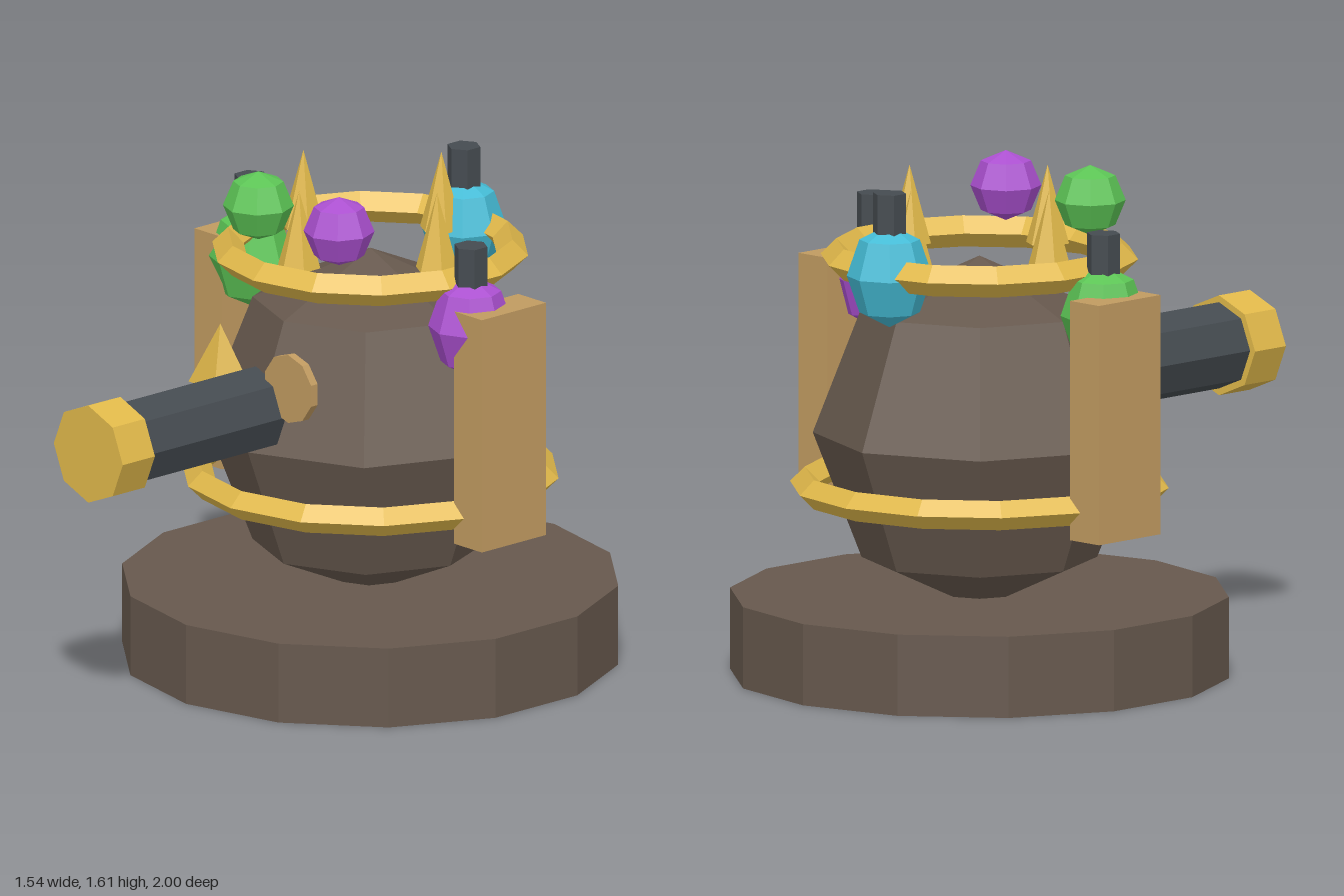
import * as THREE from 'three';

const mat = (color) => new THREE.MeshStandardMaterial({ color, flatShading: true });

export function createModel() {
  const model = new THREE.Group();
  const stone = mat(0x66584d), gold = mat(0xe0b84a), wood = mat(0xc09a60), iron = mat(0x454b50);
  const green = mat(0x5cc455), purple = mat(0xab50d0), cyan = mat(0x45bcd6);
  const CZ = -0.21; // axis of the pot and base

  const add = (name, geometry, material, x, y, z, parent = model) => {
    const mesh = new THREE.Mesh(geometry, material);
    mesh.name = name;
    mesh.position.set(x, y, z);
    parent.add(mesh);
    return mesh;
  };

  // Round plinth and faceted pot
  add('base', new THREE.CylinderGeometry(0.79, 0.79, 0.26, 14), stone, 0, 0.13, CZ);
  add('body', new THREE.SphereGeometry(0.525, 8, 4).scale(1, 1.076, 1), stone, 0, 0.773, CZ);

  // Diamond-section hoops, with a corner towards the front
  const hoop = (name, radius, tube, y) => add(name,
    new THREE.TorusGeometry(radius, tube, 4, 14).rotateX(Math.PI / 2).rotateY(Math.PI / 2),
    gold, 0, y, CZ);
  hoop('belt', 0.553, 0.047, 0.605);
  hoop('crownRing', 0.453, 0.05, 1.335);

  // Crown spikes
  for (let i = 0; i < 4; i++) {
    const a = i * Math.PI / 2;
    add('crownSpike', new THREE.ConeGeometry(0.07, 0.25, 6), gold,
      0.31 * Math.sin(a), 1.465, CZ + 0.305 * Math.cos(a));
  }

  // Side posts
  for (const s of [-1, 1]) {
    add(s > 0 ? 'leftPost' : 'rightPost', new THREE.BoxGeometry(0.128, 0.766, 0.275), wood, s * 0.602, 0.896, CZ);
  }

  // Flasks with dark necks
  const flask = (name, material, x, y, z) => {
    const group = new THREE.Group();
    group.name = name;
    group.position.set(x, y, z);
    add('flaskBulb', new THREE.SphereGeometry(0.135, 8, 4).scale(1, 1.22, 1), material, 0, 0, 0, group);
    add('flaskNeck', new THREE.CylinderGeometry(0.054, 0.054, 0.165, 6), iron, 0, 0.1825, 0, group);
    model.add(group);
  };
  flask('rightFlask', green, -0.51, 1.205, -0.17);
  flask('leftFlask', purple, 0.51, 1.205, -0.17);
  flask('backFlask', cyan, 0, 1.325, -0.612);

  // Floating orbs
  add('rightOrb', new THREE.SphereGeometry(0.112, 8, 4), green, -0.187, 1.5, 0.097);
  add('leftOrb', new THREE.SphereGeometry(0.112, 8, 4), purple, 0.187, 1.5, 0.097);

  // Barrel and muzzle pointing forwards
  const tube = (name, r, sides, z0, z1, material, x, y) => add(name,
    new THREE.CylinderGeometry(r, r, z1 - z0, sides).rotateX(Math.PI / 2), material, x, y, (z0 + z1) / 2);
  tube('barrel', 0.138, 8, 0.28, 0.87, iron, 0, 0.912);
  tube('muzzle', 0.16, 8, 0.862, 1, gold, 0, 0.912);

  // Small ornaments on the front of the pot
  tube('frontDisc', 0.112, 10, 0.27, 0.298, wood, 0.168, 1.017);
  add('frontWedge', new THREE.ConeGeometry(0.11, 0.205, 4).scale(1, 1, 0.4).rotateY(0.4),
    gold, -0.155, 1.055, 0.29);

  return model;
}
